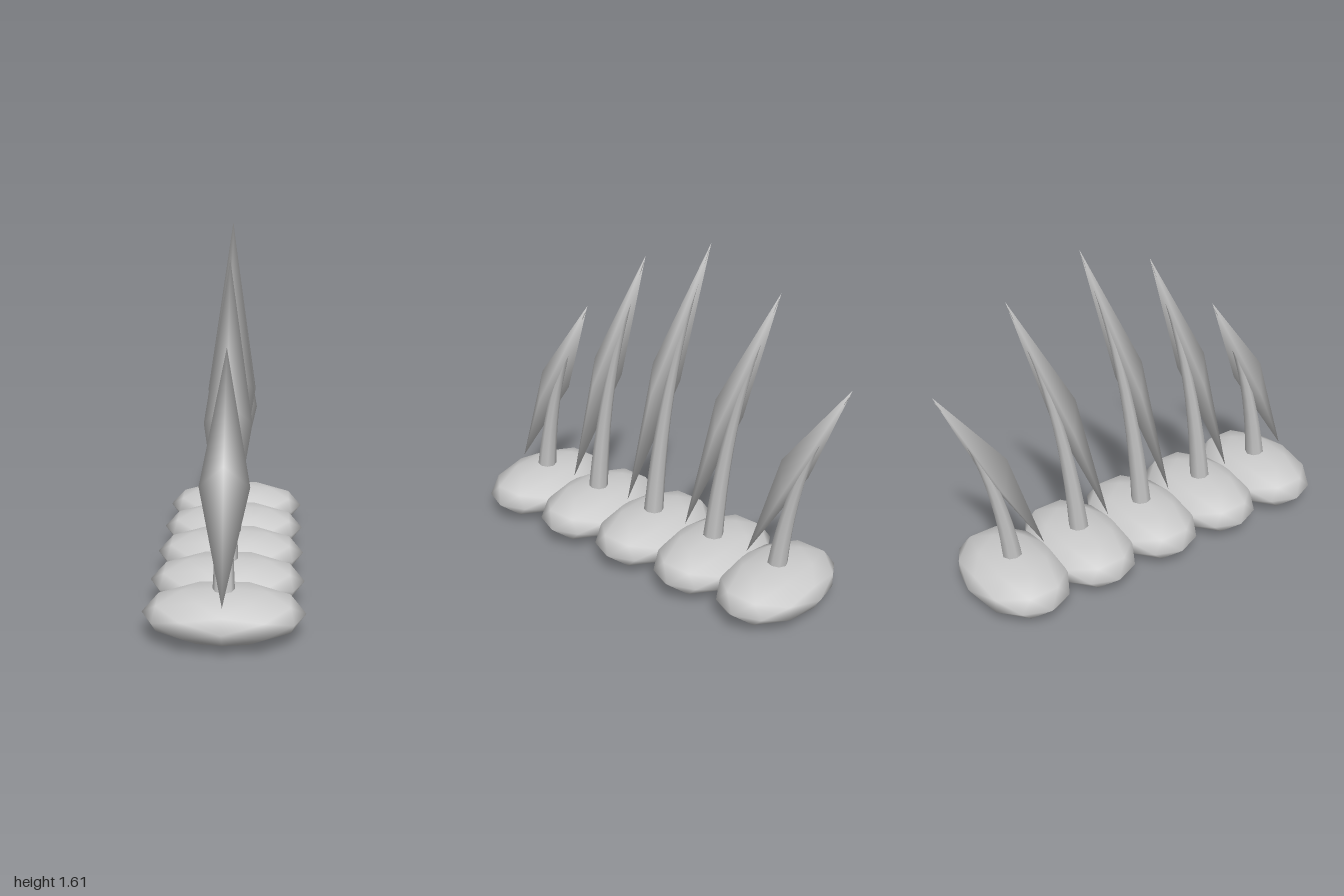
import * as THREE from 'three';
import { mergeVertices } from 'three/addons/utils/BufferGeometryUtils.js';

const material = new THREE.MeshStandardMaterial({ color: 0xcccccc, side: THREE.DoubleSide });

function add(parent, name, geometry) {
  const mesh = new THREE.Mesh(geometry, material);
  mesh.name = name;
  parent.add(mesh);
  return mesh;
}

// Low-poly ball with shared vertices, flattened into a pad
function padGeometry() {
  const ball = new THREE.IcosahedronGeometry(1, 1);
  ball.deleteAttribute('normal');
  ball.deleteAttribute('uv');
  const pad = mergeVertices(ball);
  pad.scale(0.338, 0.108, 0.234);
  pad.computeVertexNormals();
  return pad;
}

// Curved stem narrowing to a point at the tip
function stemGeometry(height) {
  const rings = 12, sides = 8;
  const curve = new THREE.QuadraticBezierCurve3(
    new THREE.Vector3(0, 0.12, 0.01),
    new THREE.Vector3(0, 0.75 + 0.45 * (height - 1.155), -0.05),
    new THREE.Vector3(0, height - 0.03, -0.305)
  );
  const tube = new THREE.TubeGeometry(curve, rings, 0.05, sides);
  const position = tube.attributes.position;
  const v = new THREE.Vector3();
  for (let i = 0; i < position.count; i++) {
    const t = Math.floor(i / (sides + 1)) / rings;
    const centre = curve.getPointAt(t);
    v.fromBufferAttribute(position, i).sub(centre).multiplyScalar(1 - 0.97 * t).add(centre);
    position.setXYZ(i, v.x, v.y, v.z);
  }
  return tube;
}

// Kite-shaped blade with a raised front ridge and a folded back
function bladeGeometry(height) {
  const rise = 0.54 * (height - 1.155);
  const corners = [
    0, 0.2, 0.17,               // 0 bottom
    0, height, -0.315,          // 1 tip
    0.105, 0.625 + rise, -0.07, // 2 left
    -0.105, 0.625 + rise, -0.07, // 3 right
    0, 0.73 + rise, 0.005       // 4 ridge
  ];
  const blade = new THREE.BufferGeometry();
  blade.setAttribute('position', new THREE.Float32BufferAttribute(corners, 3));
  blade.setIndex([4, 2, 1, 4, 1, 3, 4, 3, 0, 4, 0, 2, 2, 3, 1, 3, 2, 0]);
  blade.computeVertexNormals();
  return blade;
}

export function createModel() {
  const model = new THREE.Group();
  model.name = 'spineRow';
  const pad = padGeometry();

  // Five spines in a row from front to back, tallest in the middle
  [1.155, 1.48, 1.615, 1.48, 1.155].forEach((height, i) => {
    const spine = new THREE.Group();
    spine.name = `spine${i + 1}`;
    spine.position.z = 0.76 - 0.36 * i;
    add(spine, 'basePad', pad).position.y = 0.111;
    add(spine, 'stem', stemGeometry(height));
    add(spine, 'blade', bladeGeometry(height));
    model.add(spine);
  });
  return model;
}
